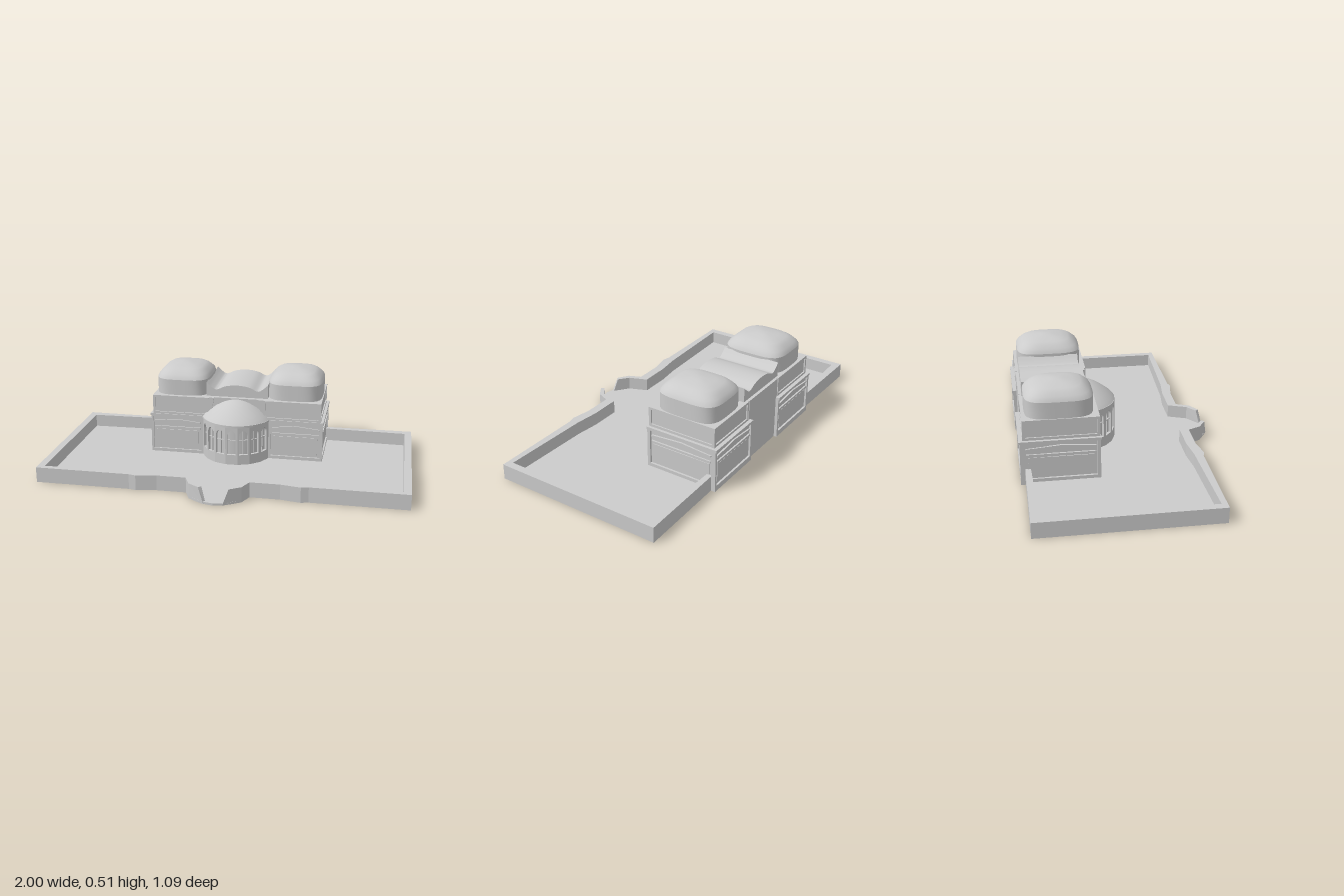
import * as THREE from 'three';
import { mergeVertices, toCreasedNormals } from 'three/addons/utils/BufferGeometryUtils.js';

const material = new THREE.MeshStandardMaterial({ color: 0xcccccc, side: THREE.DoubleSide });

function add(parent, name, geometry, x = 0, y = 0, z = 0) {
  const mesh = new THREE.Mesh(geometry, material);
  mesh.name = name;
  mesh.position.set(x, y, z);
  parent.add(mesh);
  return mesh;
}

// Box given by its minimum and maximum corners
function block(parent, name, [x0, y0, z0], [x1, y1, z1]) {
  return add(parent, name, new THREE.BoxGeometry(x1 - x0, y1 - y0, z1 - z0),
    (x0 + x1) / 2, (y0 + y1) / 2, (z0 + z1) / 2);
}

const polygon = (points) => new THREE.Shape(points.map(([x, y]) => new THREE.Vector2(x, y)));
const extrude = (shape, depth) =>
  new THREE.ExtrudeGeometry(shape, { depth, bevelEnabled: false, curveSegments: 8 });

// Ground plan of (x, z) points raised along y
const plan = (points, height) =>
  extrude(polygon(points.map(([x, z]) => [x, -z])), height).rotateX(-Math.PI / 2);

// Mirrors a half outline to the other side, in reverse order
const mirrored = (points) => points.map(([x, z]) => [-x, z]).reverse();

// Rectangular frame with its foot at the origin, facing +z
function frame(w, h, border, depth, foot = border) {
  const shape = polygon([[-w / 2, 0], [w / 2, 0], [w / 2, h], [-w / 2, h]]);
  const x = w / 2 - border;
  shape.holes.push(polygon([[-x, foot], [-x, h - border], [x, h - border], [x, foot]]));
  return extrude(shape, depth);
}

// Framed lower wall with a shallow gable moulding and a sill
function wallPanel(parent, name, w, depth, x, z, turn) {
  const panel = new THREE.Group();
  panel.name = name;
  const a = w / 2 - 0.02;
  add(panel, 'panelFrame', frame(w, 0.24, 0.014, depth, 0.03));
  add(panel, 'gableMoulding', extrude(polygon(
    [[-a, 0.192], [0, 0.205], [a, 0.192], [a, 0.2], [0, 0.214], [-a, 0.2]]), depth * 0.8));
  block(panel, 'sill', [-a, 0.155, 0], [a, 0.168, depth * 0.8]);
  block(panel, 'innerPanel', [-a + 0.01, 0.045, 0], [a - 0.01, 0.148, depth * 0.4]);
  panel.position.set(x, 0, z);
  panel.rotation.y = turn;
  parent.add(panel);
}

// Lathe whose round plan is squared off into a superellipse
function squaredLathe(profile, rx, rz, power) {
  const g = new THREE.LatheGeometry(profile.map(([r, y]) => new THREE.Vector2(r, y)), 48);
  const p = g.attributes.position;
  for (let i = 0; i < p.count; i++) {
    const x = p.getX(i), z = p.getZ(i), r = Math.hypot(x, z);
    if (r < 1e-6) continue;
    const n = 2 + (power - 2) * r;
    const k = (Math.abs(x / r) ** n + Math.abs(z / r) ** n) ** (-1 / n);
    p.setXYZ(i, x * k * rx, p.getY(i), z * k * rz);
  }
  g.deleteAttribute('uv');
  g.deleteAttribute('normal');
  const merged = mergeVertices(g, 1e-5);
  merged.computeVertexNormals();
  return merged;
}

function buildTerrace(parent) {
  // Half outlines run from the gate round to the back
  const outer = [[0.08, 0.52], [0.14, 0.48], [0.17, 0.41], [0.33, 0.41], [0.44, 0.43],
    [0.48, 0.42], [1, 0.42], [1, -0.52], [0.5, -0.515]];
  const inner = [[0.065, 0.505], [0.12, 0.462], [0.16, 0.36], [0.33, 0.36], [0.46, 0.375],
    [0.96, 0.39], [0.96, -0.475], [0.5, -0.485]];
  add(parent, 'terraceFloor', plan([...outer, ...mirrored(outer),
    [-0.05, 0.535], [0, 0.545], [0.05, 0.535]], 0.012));
  const wall = plan([...outer, ...mirrored(outer), ...[...mirrored(inner)].reverse(),
    ...[...inner].reverse()], 0.085);
  // Gate ends slope inwards towards the ground
  const p = wall.attributes.position;
  for (let i = 0; i < p.count; i++) {
    if (Math.abs(p.getX(i)) < 0.1 && p.getZ(i) > 0.45 && p.getY(i) < 0.01) {
      p.setX(i, p.getX(i) * 0.62);
      p.setZ(i, p.getZ(i) + 0.018);
    }
  }
  wall.computeVertexNormals();
  add(parent, 'perimeterWall', wall);
}

function buildWing(parent, s) {
  const wing = new THREE.Group();
  wing.name = s > 0 ? 'leftWing' : 'rightWing';
  const span = (a, b) => [Math.min(s * a, s * b), Math.max(s * a, s * b)];

  // Lower storey
  const [bx0, bx1] = span(0.14, 0.49);
  block(wing, 'rearBay', [bx0, 0, -0.528], [bx1, 0.235, -0.4]);
  wallPanel(wing, 'frontPanel', 0.31, 0.01, s * 0.345, -0.135, 0);
  wallPanel(wing, 'sidePanel', 0.4, 0.012, s * 0.488, -0.328, s * Math.PI / 2);
  wallPanel(wing, 'rearPanel', 0.36, 0.011, s * 0.32, -0.528, Math.PI);
  const [cx0, cx1] = span(0.14, 0.503);
  block(wing, 'cornice', [cx0, 0.232, -0.544], [cx1, 0.245, -0.122]);

  // Upper storey, its inner edge leaning over the centre
  add(wing, 'upperBlock', extrude(polygon(
    [[s * 0.15, 0.24], [s * 0.48, 0.24], [s * 0.48, 0.355], [s * 0.128, 0.355]]), 0.38), 0, 0, -0.515);
  add(wing, 'upperFrontFrame', frame(0.33, 0.11, 0.012, 0.008), s * 0.322, 0.245, -0.135);
  add(wing, 'upperRearFrame', frame(0.33, 0.11, 0.012, 0.008), s * 0.322, 0.245, -0.523);
  add(wing, 'upperSideFrame', frame(0.394, 0.11, 0.014, 0.008), s * 0.479, 0.245, -0.325)
    .rotation.y = s * Math.PI / 2;

  // Drum and cushion-shaped dome
  add(wing, 'drum', squaredLathe([[1, 0.35], [1, 0.445]], 0.155, 0.178, 4), s * 0.327, 0, -0.328);
  add(wing, 'dome', squaredLathe([[1, 0.445], [0.96, 0.458], [0.9, 0.469], [0.8, 0.485], [0.67, 0.498],
    [0.45, 0.506], [0.2, 0.512], [0, 0.515]], 0.155, 0.178, 4), s * 0.327, 0, -0.328);
  parent.add(wing);
}

function buildCentre(parent) {
  block(parent, 'lowerBody', [-0.488, 0, -0.522], [0.488, 0.24, -0.135]);
  block(parent, 'centreWall', [-0.15, 0.24, -0.522], [0.15, 0.355, -0.145]);

  // Vaulted roof that sweeps up to both drums
  const crest = new THREE.CatmullRomCurve3([[-0.178, 0.435], [-0.15, 0.41], [-0.122, 0.395], [-0.07, 0.416],
    [0, 0.425], [0.07, 0.416], [0.122, 0.395], [0.15, 0.41], [0.178, 0.435]]
    .map(([x, y]) => new THREE.Vector3(x, y, 0)));
  const outline = crest.getPoints(32).map((v) => [v.x, v.y]);
  add(parent, 'vaultRoof', toCreasedNormals(
    extrude(polygon([[0.178, 0.35], [-0.178, 0.35], ...outline].reverse()), 0.335), 0.5), 0, 0, -0.505);
}

function buildApse(parent) {
  const apse = new THREE.Group();
  apse.name = 'apse';
  apse.position.z = -0.185;
  add(apse, 'apseCore', new THREE.CylinderGeometry(0.18, 0.18, 0.235, 36), 0, 0.1175, 0);

  // Faceted arcade of arched windows
  const step = Math.PI / 9, radius = 0.197, half = radius * Math.tan(step / 2), w = 0.025;
  for (let i = -4; i <= 4; i++) {
    const shape = polygon([[-half, 0], [half, 0], [half, 0.235], [-half, 0.235]]);
    const arch = new THREE.Path();
    arch.moveTo(-w, 0.07);
    arch.lineTo(-w, 0.18);
    arch.quadraticCurveTo(-w, 0.205, 0, 0.215);
    arch.quadraticCurveTo(w, 0.205, w, 0.18);
    arch.lineTo(w, 0.07);
    shape.holes.push(arch);
    const bay = new THREE.Group();
    bay.name = 'arcadeBay';
    bay.rotation.y = i * step;
    add(bay, 'archedWall', extrude(shape, 0.016), 0, 0, radius - 0.016);
    block(bay, 'mullion', [-0.002, 0.07, 0.176], [0.002, 0.212, 0.187]);
    block(bay, 'transom', [-w, 0.15, 0.176], [w, 0.155, 0.187]);
    apse.add(bay);
  }

  // Eaves and dome
  add(apse, 'eaves', new THREE.CylinderGeometry(0.203, 0.203, 0.012, 36), 0, 0.239, 0);
  const profile = [[0.202, 0.243], [0.185, 0.262], [0.155, 0.286], [0.12, 0.312], [0.08, 0.335],
    [0.04, 0.35], [0, 0.355]].map(([r, y]) => new THREE.Vector2(r, y));
  add(apse, 'apseDome', new THREE.LatheGeometry(profile, 36));
  parent.add(apse);
}

export function createModel() {
  const model = new THREE.Group();
  model.name = 'domedHall';
  buildTerrace(model);
  buildCentre(model);
  for (const s of [1, -1]) buildWing(model, s);
  buildApse(model);
  return model;
}
